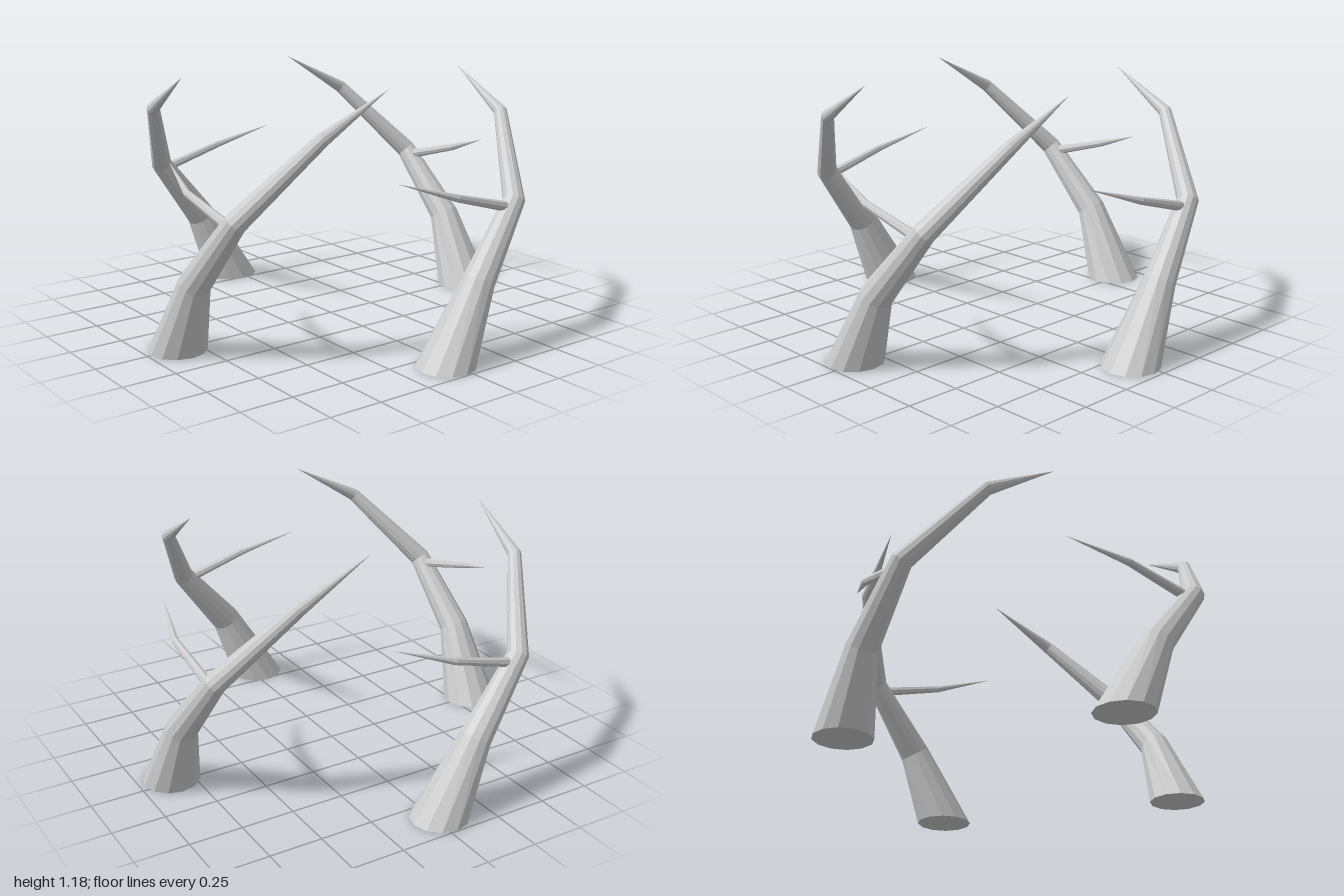
import * as THREE from 'three';

const material = new THREE.MeshStandardMaterial({ color: 0xcccccc, flatShading: true });

// Tapered limb through joints [x, y, z, radius]; the last joint is a point.
function limb(joints, sides, startDir) {
  const pts = joints.map(j => new THREE.Vector3(j[0], j[1], j[2]));
  const dirs = pts.slice(1).map((p, i) => p.clone().sub(pts[i]).normalize());
  const last = pts.length - 1;
  const pos = [], index = [];
  let u = new THREE.Vector3(0, 0, 1);
  for (let i = 0; i < last; i++) {
    // each ring lies on the plane halfway between its two segments
    const t = i === 0 ? (startDir || dirs[0]).clone() : dirs[i - 1].clone().add(dirs[i]).normalize();
    u = u.clone().addScaledVector(t, -u.dot(t)).normalize();
    const v = t.clone().cross(u);
    for (let k = 0; k < sides; k++) {
      const a = (k / sides) * Math.PI * 2, r = joints[i][3];
      const p = pts[i].clone().addScaledVector(u, r * Math.cos(a)).addScaledVector(v, r * Math.sin(a));
      pos.push(p.x, p.y, p.z);
    }
  }
  const tip = sides * last, cap = tip + 1;
  pos.push(...pts[last].toArray(), ...pts[0].toArray());
  for (let k = 0; k < sides; k++) {
    const n = (k + 1) % sides;
    for (let i = 0; i < last - 1; i++) {
      const a = i * sides, b = a + sides;
      index.push(a + k, a + n, b + k, a + n, b + n, b + k);
    }
    const e = (last - 1) * sides;
    index.push(e + k, e + n, tip, cap, n, k);
  }
  const indexed = new THREE.BufferGeometry();
  indexed.setAttribute('position', new THREE.Float32BufferAttribute(pos, 3));
  indexed.setIndex(index);
  const geo = indexed.toNonIndexed();
  geo.computeVertexNormals();
  return geo;
}

function part(name, geometry) {
  const mesh = new THREE.Mesh(geometry, material);
  mesh.name = name;
  return mesh;
}

export function createModel() {
  const model = new THREE.Group();
  model.name = 'branchRing';

  // Curved main branch with a flat foot
  const mainGeo = limb([
    [-0.034, 0, 0.865, 0.133],
    [0.14, 0.347, 0.872, 0.073],
    [0.393, 0.66, 0.818, 0.05],
    [0.588, 1.0, 0.522, 0.031],
    [0.612, 1.18, 0.2, 0],
  ], 12, new THREE.Vector3(0, 1, 0));

  // Thin side twig
  const twigGeo = limb([
    [0.335, 0.643, 0.828, 0.023],
    [0.04, 0.722, 0.838, 0.017],
    [-0.232, 0.806, 0.77, 0],
  ], 8);

  // Four copies, a quarter turn apart, each slightly off centre
  const places = [
    ['frontBranch', 0, 0, 0],
    ['leftBranch', 1, -0.021, 0.003],
    ['backBranch', 2, -0.064, 0],
    ['rightBranch', 3, 0.014, 0.036],
  ];
  for (const [name, turns, x, z] of places) {
    const branch = new THREE.Group();
    branch.name = name;
    branch.add(part('mainLimb', mainGeo), part('twig', twigGeo));
    branch.rotation.y = turns * Math.PI / 2;
    branch.position.set(x, 0, z);
    model.add(branch);
  }
  return model;
}
